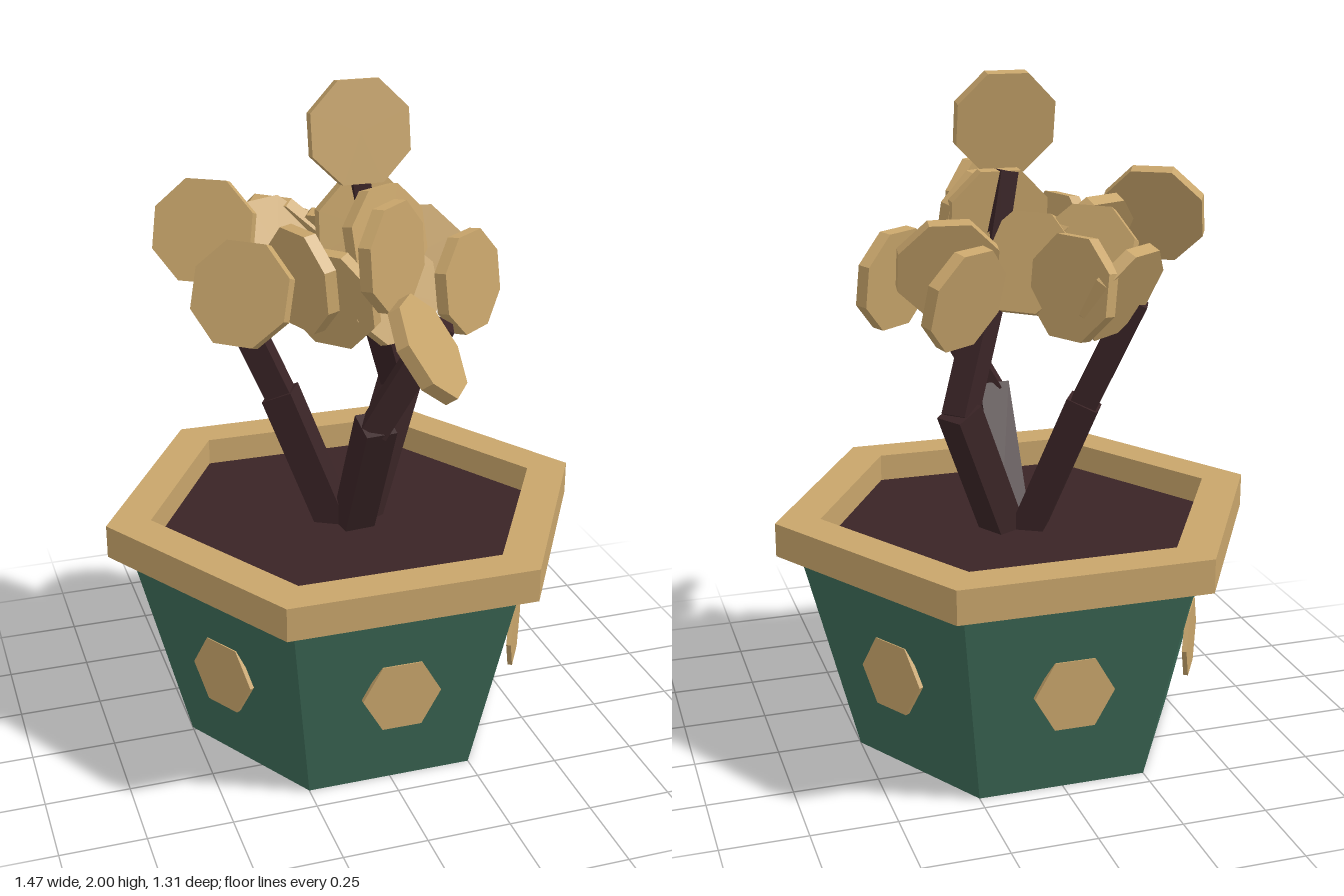
import * as THREE from 'three';

const mat = (name, color) => new THREE.MeshStandardMaterial({ name, color, flatShading: true });

export function createModel() {
  const gold = mat('pale gold', 0xc8a56b);
  const green = mat('deep green', 0x3d6b58);
  green.side = THREE.DoubleSide;
  const brown = mat('dark brown', 0x3a2426);

  const model = new THREE.Group();
  model.name = 'pottedTree';
  const add = (parent, name, geometry, material) => {
    const mesh = new THREE.Mesh(geometry, material);
    mesh.name = name;
    parent.add(mesh);
    return mesh;
  };
  const V = (a) => new THREE.Vector3(...a);

  // Hexagonal pot with corners on the x axis, open underneath
  const pot = new THREE.Group();
  pot.name = 'pot';
  pot.position.z = -0.013;
  model.add(pot);
  add(pot, 'potWall', new THREE.CylinderGeometry(0.665, 0.5, 0.636, 6, 1, true, Math.PI / 6), green)
    .position.y = 0.318;
  add(pot, 'soil', new THREE.CylinderGeometry(0.61, 0.61, 0.014, 6, 1, false, Math.PI / 6), brown)
    .position.y = 0.645;

  // Rim ring
  const hexagon = (r) => Array.from({ length: 6 }, (_, i) =>
    new THREE.Vector2(r * Math.cos(i * Math.PI / 3), r * Math.sin(i * Math.PI / 3)));
  const ring = new THREE.Shape(hexagon(0.733));
  ring.holes.push(new THREE.Path(hexagon(0.6).reverse()));
  const rim = new THREE.ExtrudeGeometry(ring, { depth: 0.1, bevelEnabled: false });
  add(pot, 'rim', rim.rotateX(-Math.PI / 2), gold).position.y = 0.635;

  // One upright hexagonal stud on each wall
  const studShape = new THREE.CylinderGeometry(0.118, 0.118, 0.014, 6, 1, false, Math.PI / 6).rotateX(Math.PI / 2);
  for (let i = 0; i < 6; i++) {
    const angle = i * Math.PI / 3;
    const stud = add(pot, 'stud', studShape, gold);
    stud.position.set(0.528 * Math.sin(angle), 0.337, 0.528 * Math.cos(angle));
    stud.rotation.y = angle;
  }

  // Three bent branches made of square segments
  const tree = new THREE.Group();
  tree.name = 'tree';
  model.add(tree);
  const branches = [
    [[-0.03, 0.65, -0.03], [-0.17, 1.04, -0.11], [-0.3, 1.35, -0.17]],
    [[0.015, 0.65, 0.02], [0.03, 1.03, 0.18], [0.2, 1.34, 0.235]],
    [[0.05, 0.65, -0.02], [0.2, 1.04, -0.1], [0.09, 1.35, 0], [0.03, 1.71, 0.01]],
  ];
  const widths = [0.095, 0.078, 0.055];
  for (const points of branches) {
    for (let i = 0; i + 1 < points.length; i++) {
      const a = V(points[i]), b = V(points[i + 1]);
      const w = widths[i];
      const segment = add(tree, 'branch', new THREE.BoxGeometry(w, w, a.distanceTo(b) + 0.02), brown);
      segment.position.copy(a).lerp(b, 0.5);
      segment.lookAt(b);
    }
  }

  // Octagonal leaf discs: centre, then facing direction
  const leaves = [
    [[0.03, 1.855, 0.02], [0, 0.17, 0.98]],
    [[0.06, 1.385, 0.515], [0.69, 0.56, 0.46]],
    [[-0.4, 1.585, -0.06], [-0.5, 0.33, 0.8]],
    [[-0.34, 1.45, 0.12], [-0.6, 0.35, 0.7]],
    [[0.035, 1.575, 0.295], [0.66, 0.07, 0.75]],
    [[0.34, 1.41, 0.09], [0.6, 0.12, 0.79]],
    [[-0.22, 1.41, -0.28], [0.5, 0.45, 0.7]],
    [[0.21, 1.4, -0.19], [0.53, 0.25, 0.8]],
    [[-0.2, 1.52, -0.05], [0.35, 0.5, 0.8]],
    [[-0.17, 1.48, 0.13], [0.93, 0.1, -0.3]],
    [[-0.09, 1.42, 0.14], [0.72, 0.2, -0.65]],
    [[0.05, 1.58, 0.02], [0.02, 0.1, 1]],
    [[0.22, 1.46, -0.05], [-0.1, 0.3, 0.95]],
    [[-0.08, 1.43, -0.27], [0.85, 0.1, -0.45]],
    [[-0.14, 1.5, -0.2], [0.6, 0.4, -0.65]],
    [[0.09, 1.42, 0.14], [0.25, 0.35, 0.9]],
    [[0, 1.47, -0.1], [0.6, 0.35, -0.65]],
    [[0.08, 1.57, 0.11], [0.45, 0.2, 0.85]],
  ];
  const leafShape = new THREE.CylinderGeometry(0.155, 0.155, 0.038, 8, 1, false, Math.PI / 8).rotateX(Math.PI / 2);
  for (const [centre, facing] of leaves) {
    const leaf = add(tree, 'leaf', leafShape, gold);
    leaf.position.copy(V(centre));
    leaf.lookAt(V(centre).add(V(facing)));
  }
  return model;
}
